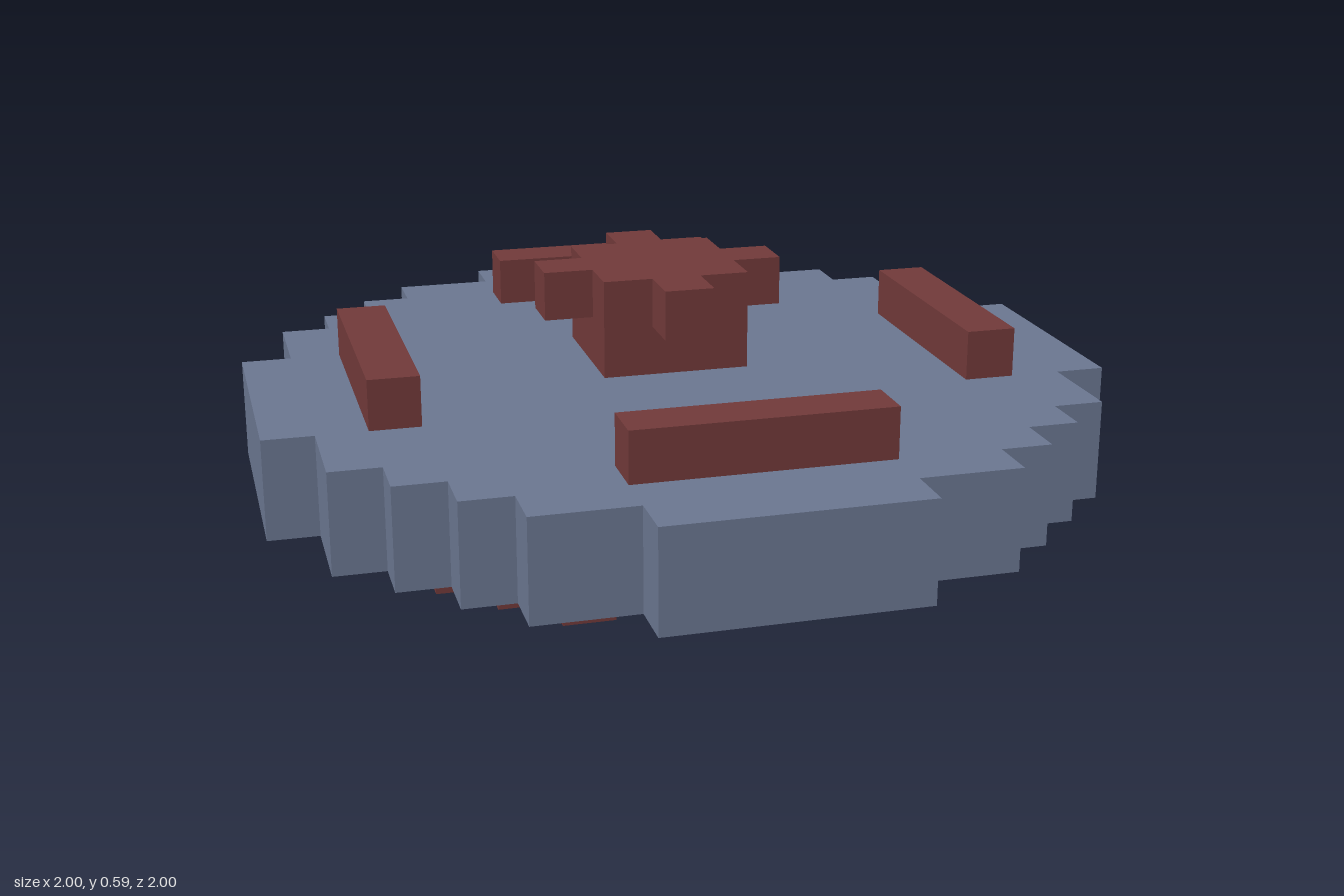
import * as THREE from 'three';

const U = 2 / 17; // one block

export function createModel() {
  const model = new THREE.Group();
  model.name = 'blockDisc';
  const slate = new THREE.MeshStandardMaterial({ color: 0x6b7791 });
  slate.name = 'slate blue';
  const maroon = new THREE.MeshStandardMaterial({ color: 0x723a3a });
  maroon.name = 'maroon';

  // Extrude a plan outline of [x, z] block coordinates between two heights
  function slab(name, points, y0, y1, material) {
    const shape = new THREE.Shape(points.map(([x, z]) => new THREE.Vector2(x * U, z * U)));
    const geo = new THREE.ExtrudeGeometry(shape, { depth: (y1 - y0) * U, bevelEnabled: false });
    geo.rotateX(Math.PI / 2).translate(0, y1 * U, 0);
    const mesh = new THREE.Mesh(geo, material);
    mesh.name = name;
    model.add(mesh);
    return mesh;
  }

  function box(name, x0, x1, y0, y1, z0, z1, material) {
    const geo = new THREE.BoxGeometry((x1 - x0) * U, (y1 - y0) * U, (z1 - z0) * U);
    const mesh = new THREE.Mesh(geo, material);
    mesh.name = name;
    mesh.position.set((x0 + x1) / 2 * U, (y0 + y1) / 2 * U, (z0 + z1) / 2 * U);
    model.add(mesh);
  }

  // Repeat one quadrant of an outline four times around the centre
  function fourfold(quadrant) {
    const out = [];
    for (let k = 0; k < 4; k++) {
      for (const [x, z] of quadrant) {
        out.push([[x, z], [-z, x], [-x, -z], [z, -x]][k]);
      }
    }
    return out;
  }

  // Stepped round disc
  slab('disc', fourfold([
    [8.5, 2.5], [7.5, 2.5], [7.5, 4.5], [6.5, 4.5], [6.5, 5.5], [5.5, 5.5],
    [5.5, 6.5], [4.5, 6.5], [4.5, 7.5], [2.5, 7.5], [2.5, 8.5], [-2.5, 8.5],
  ].slice(0, 11)), 1, 3, slate);

  // Raised bars near the rim
  for (const s of [-1, 1]) {
    const side = s > 0 ? 'left' : 'right';
    const end = s > 0 ? 'front' : 'back';
    box(side + 'Bar', s * 6 - 0.5, s * 6 + 0.5, 3, 4, -2.5, 2.5, maroon);
    box(end + 'Bar', -2.5, 2.5, 3, 4, s * 6 - 0.5, s * 6 + 0.5, maroon);
  }

  // Centre knob, set one block back, with an overhanging cap
  box('knobBase', -1.5, 1.5, 3, 4, -2.5, 0.5, maroon);
  const cap = slab('knobCap', fourfold([
    [2.5, 0.5], [1.5, 0.5], [1.5, 1.5], [0.5, 1.5], [0.5, 2.5],
  ]), 4, 5, maroon);
  cap.position.z = -U;

  // Cross under the disc
  slab('undersideCross', fourfold([[4.5, 0.5], [0.5, 0.5], [0.5, 4.5]]), 0, 1, maroon);

  // Stepped corner feet under the disc
  for (const sx of [-1, 1]) {
    for (const sz of [-1, 1]) {
      const foot = [
        [2.5, 2.5], [5.5, 2.5], [5.5, 3.5], [4.5, 3.5],
        [4.5, 4.5], [3.5, 4.5], [3.5, 5.5], [2.5, 5.5],
      ].map(([x, z]) => [x * sx, z * sz]);
      slab((sz > 0 ? 'front' : 'back') + (sx > 0 ? 'Left' : 'Right') + 'Foot', foot, 0, 1, maroon);
    }
  }

  return model;
}
